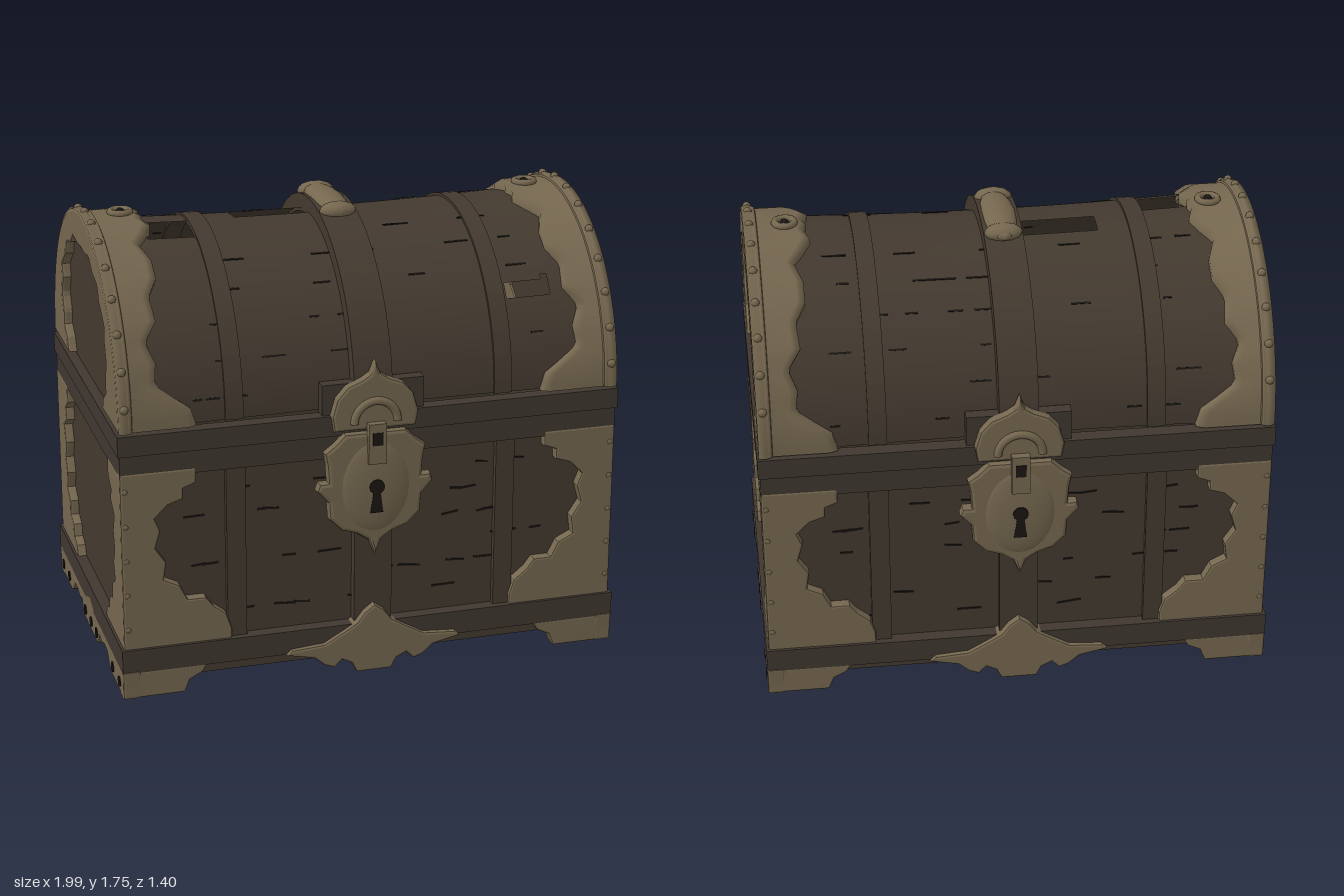
import * as THREE from 'three';

const mat = (name, color, side = THREE.DoubleSide) => {
  const m = new THREE.MeshStandardMaterial({ color, side });
  m.name = name;
  return m;
};
const wood = mat('dark wood', 0x43392f);
const band = mat('weathered strap', 0x3f3730);
const brass = mat('aged brass', 0x75674f);
const crack = mat('crack black', 0x191512);
const under = mat('underside wood', 0x3f3730, THREE.FrontSide);

const CY = 1.07; // height where the lid starts to curve
const arc = (a, k) => [k * Math.cos(a), CY + (k + 0.02) * Math.sin(a)]; // [z, y]
const rad = THREE.MathUtils.degToRad;

function mesh(parent, name, geo, m, x = 0, y = 0, z = 0) {
  const o = new THREE.Mesh(geo, m);
  o.name = name;
  o.position.set(x, y, z);
  parent.add(o);
  return o;
}
const box = (p, name, m, w, h, d, x, y, z) => mesh(p, name, new THREE.BoxGeometry(w, h, d), m, x, y, z);

const shape = (pts) => new THREE.Shape(pts.map(([x, y]) => new THREE.Vector2(x, y)));
// closes a half outline by mirroring it in x
const both = (pts) => shape([...pts, ...pts.slice().reverse().filter(p => p[0] !== 0).map(([x, y]) => [-x, y])]);
function plate(s, depth, bevel = 0) {
  return new THREE.ExtrudeGeometry(s, {
    depth: depth - bevel, bevelEnabled: bevel > 0, bevelSize: bevel, bevelOffset: -bevel,
    bevelThickness: bevel, bevelSegments: 2, curveSegments: 10,
  });
}
// turns a front-facing plate towards +x
const toSide = (geo) => geo.rotateY(Math.PI / 2);

// linear lookup in a list of [key, value]
function lookup(list, t) {
  for (let i = 1; i < list.length; i++) {
    const [a, va] = list[i - 1], [b, vb] = list[i];
    if (t <= b) return va + (vb - va) * Math.max(0, (t - a) / (b - a));
  }
  return list[list.length - 1][1];
}

// hollow rectangular frame around the chest
function frame(hx, hz, t, h) {
  const r = (x, z) => [[-x, -z], [x, -z], [x, z], [-x, z]];
  const s = shape(r(hx, hz));
  s.holes.push(shape(r(hx - t, hz - t)));
  return plate(s, h).rotateX(-Math.PI / 2);
}

// surface from rows of points
function loft(rows, skip = () => false) {
  const n = rows[0].length, idx = [];
  for (let i = 0; i < rows.length - 1; i++) for (let j = 0; j < n - 1; j++) {
    if (skip(rows[i][j], rows[i + 1][j + 1])) continue;
    const a = i * n + j, b = a + n;
    idx.push(a, b, a + 1, b, b + 1, a + 1);
  }
  const g = new THREE.BufferGeometry();
  g.setAttribute('position', new THREE.Float32BufferAttribute(rows.flat(2), 3));
  g.setIndex(idx);
  g.computeVertexNormals();
  return g;
}

// hoop over the lid
function hoop(width, kOut, kIn) {
  const out = [], inn = [];
  for (let i = 0; i <= 40; i++) {
    const a = Math.PI * i / 40;
    out.push(arc(a, kOut));
    inn.unshift(arc(a, kIn));
  }
  return toSide(plate(shape([...out, ...inn]), width)).translate(-width / 2, 0, 0);
}

const lidK = (x) => 0.582 + 0.022 * (x / 0.9) ** 2;

function buildLid(root) {
  // worn barrel with broken-out patches [x0, x1, z0, z1]
  const holes = [[-0.37, -0.07, -0.11, 0], [-0.74, -0.5, 0.02, 0.17], [0.57, 0.75, 0.45, 0.49]];
  const rows = [];
  for (let i = 0; i <= 76; i++) {
    const x = -0.95 + 1.9 * i / 76, row = [];
    for (let j = 0; j <= 90; j++) {
      const [z, y] = arc(Math.PI * j / 90, lidK(x));
      row.push([x, y, z]);
    }
    rows.push(row);
  }
  mesh(root, 'lidBarrel', loft(rows, (p, q) => {
    const x = (p[0] + q[0]) / 2, z = (p[2] + q[2]) / 2;
    return p[1] > 1.2 && holes.some(h => x > h[0] && x < h[1] && z > h[2] && z < h[3]);
  }), wood);
  mesh(root, 'lidCentreRib', hoop(0.15, 0.64, 0.57), wood);
  for (const x of [-0.53, 0.53]) mesh(root, 'lidRib', hoop(0.07, 0.6, 0.58), wood, x);

  // carrying handle and its mounts
  const handle = new THREE.SphereGeometry(1, 16, 10).scale(0.068, 0.04, 0.215);
  mesh(root, 'topHandle', handle, brass, 0, 1.715, -0.015);
  for (const z of [-0.17, 0, 0.15]) {
    mesh(root, 'handleKnuckle', new THREE.SphereGeometry(1, 12, 8).scale(0.074, 0.035, 0.045), brass, 0, 1.715, z);
  }
}

// brass and panels of the +x end, mirrored for the other end
function buildEnd(root, sign) {
  const g = new THREE.Group();
  g.name = sign > 0 ? 'leftEnd' : 'rightEnd';
  g.scale.x = sign;
  root.add(g);

  const panel = [];
  for (let i = 0; i <= 32; i++) panel.push(arc(Math.PI * i / 32, 0.61));
  mesh(g, 'lidEndPanel', toSide(plate(shape([...panel, [-0.61, 0.98], [0.61, 0.98]]), 0.01)), wood, 0.935);

  // scalloped arch on the end of the lid
  const ring = [[0, 0.34], [8, 0.37], [12, 0.43], [19, 0.44], [25, 0.49], [34, 0.5], [38, 0.54],
    [50, 0.52], [55, 0.55], [65, 0.52], [72, 0.54], [82, 0.51], [90, 0.51]];
  const edge = [[0, 0.68], [6, 0.7], [10, 0.76], [15, 0.83], [22, 0.82], [29, 0.85], [36, 0.8], [45, 0.81],
    [52, 0.77], [60, 0.77], [68, 0.8], [74, 0.76], [80, 0.73], [86, 0.75], [90, 0.74]];
  const out = [], inn = [], rows = [];
  for (let d = 0; d <= 180; d += 2) {
    const f = Math.min(d, 180 - d), a = rad(d);
    out.push(arc(a, 0.645));
    inn.unshift(arc(a, lookup(ring, f)));
    const x = lookup(edge, f);
    rows.push([[x, 0.58], [x, 0.62], [x + 0.03, 0.635], [0.93, 0.635], [0.95, 0.652], [0.978, 0.645], [0.978, 0.58]]
      .map(([px, k]) => { const [z, y] = arc(a, k); return [px, y, z]; }));
  }
  mesh(g, 'lidEndArch', toSide(plate(shape([...out, ...inn]), 0.045, 0.01)), brass, 0.935);
  mesh(g, 'lidEdgeTrim', loft(rows), brass);

  // rivets along the rim
  const rivet = new THREE.SphereGeometry(0.017, 8, 6);
  for (let d = 8; d <= 172; d += 12) {
    const [z, y] = arc(rad(d), 0.646);
    mesh(g, 'rimRivet', rivet, brass, 0.955, y, z);
  }
  mesh(g, 'topRosette', new THREE.TorusGeometry(0.038, 0.014, 8, 16).rotateX(Math.PI / 2), brass, 0.82, 1.73, -0.01);
  mesh(g, 'rosetteCore', new THREE.SphereGeometry(0.018, 8, 6), crack, 0.82, 1.727, -0.01);

  // brass corners on the end of the body
  const side = [[0.64, 0.19], [0.34, 0.19], [0.29, 0.2], [0.31, 0.24], [0.36, 0.26], [0.37, 0.31], [0.43, 0.33],
    [0.43, 0.39], [0.49, 0.43], [0.47, 0.5], [0.5, 0.56], [0.48, 0.63], [0.51, 0.7], [0.45, 0.74],
    [0.46, 0.79], [0.41, 0.83], [0.41, 0.9], [0.64, 0.9]];
  for (const s of [1, -1]) {
    mesh(g, 'endCorner', toSide(plate(shape(side.map(([z, y]) => [z * s, y])), 0.045, 0.008)), brass, 0.935);
    for (let y = 0.28; y < 0.88; y += 0.14) mesh(g, 'cornerRivet', rivet, brass, 0.962, y, 0.628 * s);
    box(g, 'cornerFoot', brass, 0.16, 0.1, 0.16, 0.9, 0.051, 0.565 * s);
  }

  // scalloped skirting with dark studs
  const skirt = both([[0, 0], [0.13, 0], [0.16, 0.02], [0.18, 0.055], [0.23, 0.045], [0.28, 0.06], [0.34, 0.055],
    [0.37, 0.02], [0.41, 0], [0.65, 0], [0.655, 0.11], [0.2, 0.11], [0.1, 0.115], [0, 0.15]]);
  mesh(g, 'endSkirt', toSide(plate(skirt, 0.06, 0.008)), brass, 0.93);
  const stud = toSide(new THREE.CylinderGeometry(0.022, 0.022, 0.008, 8).rotateX(Math.PI / 2));
  for (const z of [-0.58, -0.45, -0.1, 0.02, 0.13, 0.45, 0.58]) mesh(g, 'skirtStud', stud, crack, 0.99, 0.045, z);
}

// everything on the +z face, turned round for the back
function buildFace(root, back) {
  const g = new THREE.Group();
  g.name = back ? 'backFace' : 'frontFace';
  g.rotation.y = back ? Math.PI : 0;
  root.add(g);

  box(g, 'centreSlat', wood, 0.15, 0.75, 0.05, 0, 0.53, 0.615);
  const corner = [[0.978, 0.19], [0.56, 0.19], [0.56, 0.24], [0.58, 0.3], [0.63, 0.34], [0.66, 0.38], [0.73, 0.38],
    [0.76, 0.44], [0.82, 0.47], [0.81, 0.54], [0.85, 0.6], [0.83, 0.67], [0.85, 0.72], [0.8, 0.77],
    [0.74, 0.79], [0.74, 0.83], [0.69, 0.85], [0.69, 0.91], [0.978, 0.91]];
  const foot = [[0.99, 0], [0.75, 0], [0.73, 0.05], [0.68, 0.075], [0.66, 0.11], [0.99, 0.11]];
  for (const s of [1, -1]) {
    const flip = (pts) => shape(pts.map(([x, y]) => [x * s, y]));
    box(g, 'sideSlat', wood, 0.075, 0.72, 0.03, 0.535 * s, 0.55, 0.61);
    mesh(g, 'faceCorner', plate(flip(corner), 0.045, 0.008), brass, 0, 0, 0.595);
    mesh(g, 'faceFoot', plate(flip(foot), 0.06, 0.008), brass, 0, 0, 0.592);
  }
  const ornament = both([[0, 0], [0.07, 0], [0.09, 0.04], [0.13, 0.06], [0.16, 0.03], [0.2, 0.045], [0.24, 0.08],
    [0.35, 0.105], [0.33, 0.125], [0.2, 0.135], [0.12, 0.18], [0.07, 0.21], [0.04, 0.25], [0, 0.28]]);
  mesh(g, 'baseOrnament', plate(ornament, 0.07, 0.01), brass, 0, 0, 0.6);

  // lock: shield, hasp and keyhole
  box(g, 'lockBacking', band, 0.4, 0.18, 0.05, 0, 1.09, 0.605);
  const shield = both([[0, 0.49], [0.025, 0.55], [0.07, 0.58], [0.13, 0.6], [0.18, 0.65], [0.185, 0.72], [0.23, 0.77],
    [0.22, 0.8], [0.185, 0.8], [0.19, 0.87], [0.2, 0.92], [0.16, 0.95], [0.12, 0.99], [0, 0.99]]);
  mesh(g, 'lockShield', plate(shield, 0.04, 0.015), brass, 0, 0, 0.63);
  mesh(g, 'shieldBoss', new THREE.SphereGeometry(1, 20, 12).scale(0.14, 0.19, 0.025), brass, 0, 0.77, 0.662);
  const crown = both([[0, 1.0], [0.16, 1.0], [0.17, 1.06], [0.15, 1.13], [0.11, 1.175], [0.05, 1.2], [0.02, 1.22], [0, 1.27]]);
  mesh(g, 'haspPlate', plate(crown, 0.035, 0.012), brass, 0, 0, 0.63);
  mesh(g, 'haspRing', new THREE.TorusGeometry(0.085, 0.016, 8, 16, Math.PI), brass, 0, 1.03, 0.668);
  box(g, 'haspTongue', brass, 0.07, 0.16, 0.03, 0, 0.95, 0.68);
  box(g, 'haspSlot', crack, 0.04, 0.05, 0.006, 0, 0.97, 0.695);
  mesh(g, 'keyholeRound', new THREE.CylinderGeometry(0.03, 0.03, 0.008, 12).rotateX(Math.PI / 2), crack, 0, 0.775, 0.687);
  mesh(g, 'keyholeSlot', plate(both([[0, 0.67], [0.025, 0.67], [0.012, 0.77], [0, 0.77]]), 0.008), crack, 0, 0, 0.68);

  // weathered cracks on the planks and lid
  let seed = back ? 7 : 3;
  const rnd = () => (seed = (seed * 16807) % 2147483647) / 2147483647;
  for (let i = 0; i < 12; i++) rnd();
  for (let i = 0; i < 34; i++) {
    const x = (rnd() - 0.5) * 1.5, len = 0.03 + rnd() * 0.07;
    box(g, 'plankCrack', crack, len, 0.007, 0.006, x, 0.3 + 0.1 * Math.floor(rnd() * 6), 0.601).rotation.z = (rnd() - 0.5) * 0.3;
    const a = rad(8 + 13 * Math.floor(rnd() * 6)), lx = (rnd() - 0.5) * 1.4;
    const [z, y] = arc(a, lidK(lx));
    box(g, 'lidCrack', crack, len, 0.007, 0.006, lx, y, z).rotation.x = -a;
  }
}

export function createModel() {
  const root = new THREE.Group();
  root.name = 'treasureChest';

  // body walls, floor and straps
  mesh(root, 'bodyWalls', frame(0.945, 0.6, 0.02, 0.95), wood, 0, 0.05, 0);
  mesh(root, 'floor', new THREE.PlaneGeometry(1.89, 1.2).rotateX(Math.PI / 2), under, 0, 0.05, 0);
  mesh(root, 'baseStrap', frame(0.99, 0.652, 0.06, 0.095), band, 0, 0.105, 0);
  mesh(root, 'bodyRimStrap', frame(0.978, 0.638, 0.05, 0.09), band, 0, 0.89, 0);
  mesh(root, 'lidRimStrap', frame(0.985, 0.645, 0.06, 0.08), band, 0, 0.98, 0);

  buildLid(root);
  for (const s of [1, -1]) buildEnd(root, s);
  for (const b of [false, true]) buildFace(root, b);
  return root;
}
